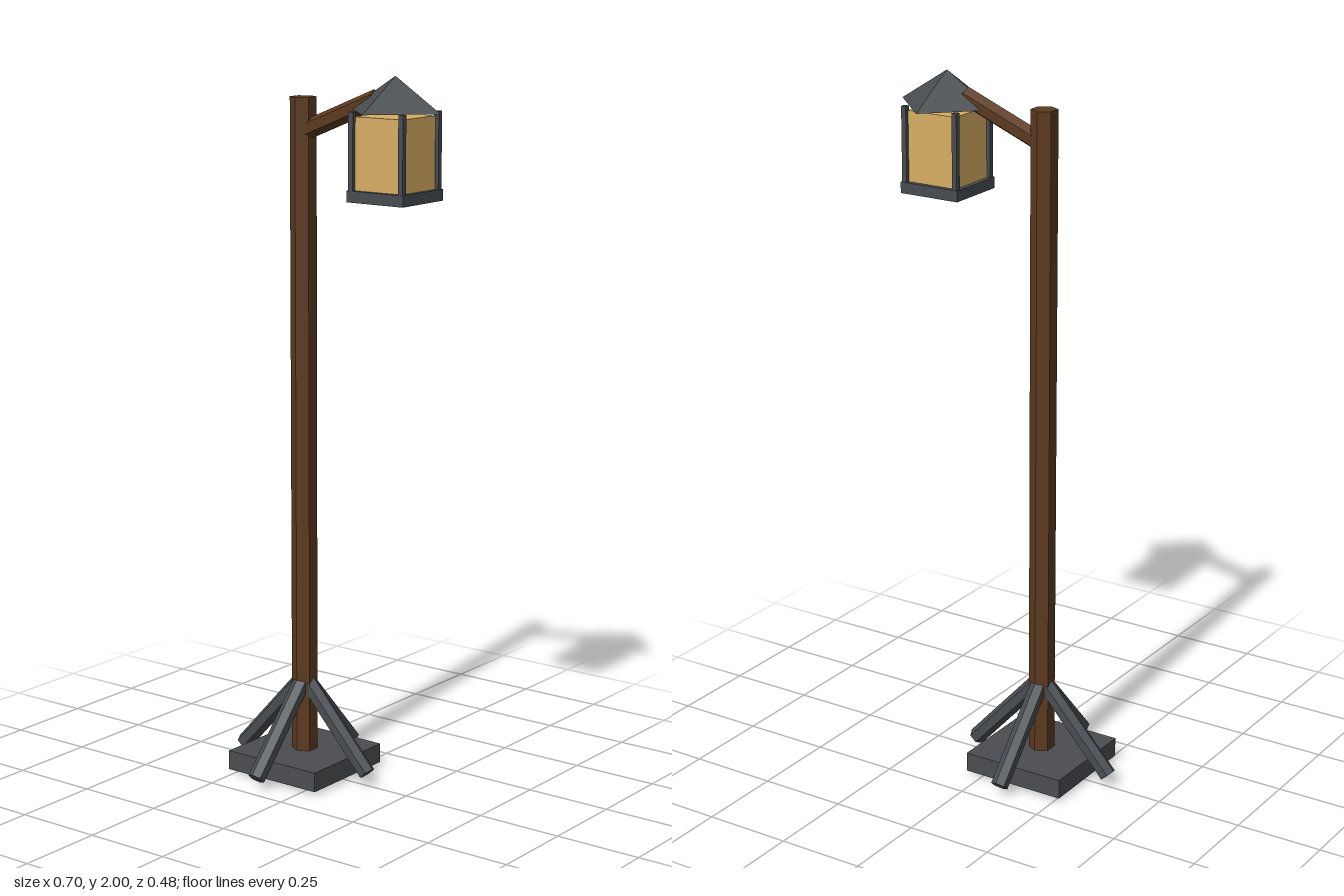
import * as THREE from 'three';

const flat = (name, color) => {
  const m = new THREE.MeshStandardMaterial({ color, flatShading: true });
  m.name = name;
  return m;
};

export function createModel() {
  const wood = flat('brown wood', 0x5c3a1f);
  const iron = flat('dark iron', 0x484d51);
  const stone = flat('grey stone', 0x4b4d51);
  const glass = flat('amber glass', 0xd8ae63);

  const POLE_X = -0.109, LAMP_X = 0.2;
  const model = new THREE.Group();
  model.name = 'lampPost';

  const add = (parent, name, geometry, material, x, y, z) => {
    const mesh = new THREE.Mesh(geometry, material);
    mesh.name = name;
    mesh.position.set(x, y, z);
    parent.add(mesh);
    return mesh;
  };

  // Six-sided beam in the xy plane between two points, with a ridge on top
  const beam = (parent, name, material, radius, x0, y0, x1, y1) => {
    const dx = x1 - x0, dy = y1 - y0;
    const geometry = new THREE.CylinderGeometry(radius, radius, Math.hypot(dx, dy), 6);
    geometry.rotateY(Math.PI / 2);
    const mesh = add(parent, name, geometry, material, (x0 + x1) / 2, (y0 + y1) / 2, 0);
    mesh.rotation.z = Math.atan2(-dx, dy);
    return mesh;
  };

  // Base slab and pole
  add(model, 'baseSlab', new THREE.BoxGeometry(0.31, 0.056, 0.31), stone, POLE_X, 0.039, 0);
  add(model, 'pole', new THREE.CylinderGeometry(0.0368, 0.0368, 1.93, 6), wood, POLE_X, 0.965, 0);

  // Four slanted braces around the pole
  for (let i = 0; i < 4; i++) {
    const brace = new THREE.Group();
    brace.name = 'brace' + (i + 1);
    brace.position.x = POLE_X;
    brace.rotation.y = i * Math.PI / 2;
    beam(brace, 'braceBeam', iron, 0.0245, 0.01, 0.271, 0.223, 0.036);
    model.add(brace);
  }

  // Arm rising to the lantern roof
  beam(model, 'arm', wood, 0.027, POLE_X, 1.835, 0.14, 1.936);

  // Lantern
  const lantern = new THREE.Group();
  lantern.name = 'lantern';
  lantern.position.x = LAMP_X;
  model.add(lantern);
  add(lantern, 'lanternFloor', new THREE.BoxGeometry(0.184, 0.031, 0.184), iron, 0, 1.6825, 0);
  add(lantern, 'lanternGlass', new THREE.BoxGeometry(0.156, 0.198, 0.156), glass, 0, 1.795, 0);
  add(lantern, 'lanternRoof', new THREE.ConeGeometry(0.147, 0.093, 4), iron, 0, 1.9535, 0);
  for (const sx of [-1, 1]) for (const sz of [-1, 1]) {
    add(lantern, 'cornerPost', new THREE.BoxGeometry(0.015, 0.211, 0.015), iron,
      sx * 0.0815, 1.8015, sz * 0.0815);
  }

  return model;
}
